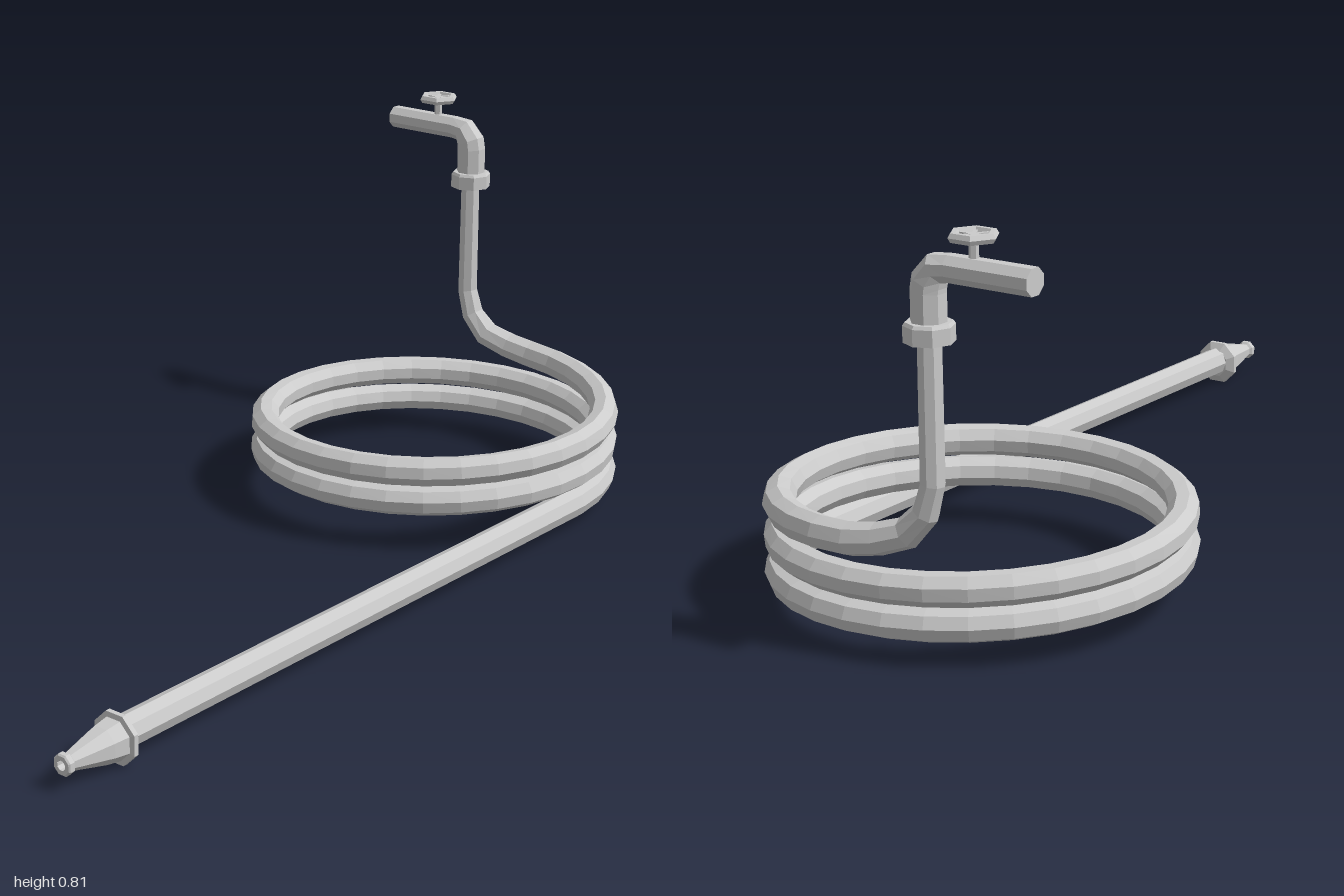
import * as THREE from 'three';

const material = new THREE.MeshStandardMaterial({ color: 0xcccccc, flatShading: true });
const V = (x, y, z) => new THREE.Vector3(x, y, z);

function addMesh(parent, name, geometry, x = 0, y = 0, z = 0) {
  const mesh = new THREE.Mesh(geometry, material);
  mesh.name = name;
  mesh.position.set(x, y, z);
  parent.add(mesh);
  return mesh;
}

// Sweep a regular polygon along stations [point, radius], with capped ends.
function sweep(stations, sides, normal, turn = 0) {
  const positions = [], index = [];
  const n = stations.length;
  const p = stations.map((s) => s[0]);
  const side = normal.clone();
  stations.forEach(([point, radius], i) => {
    const before = p[i].clone().sub(p[Math.max(i - 1, 0)]).normalize();
    const after = p[Math.min(i + 1, n - 1)].clone().sub(p[i]).normalize();
    const tangent = before.add(after).normalize();
    side.addScaledVector(tangent, -side.dot(tangent)).normalize();
    const up = tangent.clone().cross(side);
    for (let j = 0; j < sides; j++) {
      const a = turn + (j / sides) * Math.PI * 2;
      const v = point.clone().addScaledVector(side, Math.cos(a) * radius).addScaledVector(up, Math.sin(a) * radius);
      positions.push(v.x, v.y, v.z);
      if (i < n - 1) {
        const k = i * sides + j, l = i * sides + (j + 1) % sides;
        index.push(k, l, l + sides, k, l + sides, k + sides);
      }
    }
  });
  for (let j = 1; j < sides - 1; j++) {
    const e = (n - 1) * sides;
    index.push(0, j + 1, j, e, e + j, e + j + 1);
  }
  const geometry = new THREE.BufferGeometry();
  geometry.setAttribute('position', new THREE.Float32BufferAttribute(positions, 3));
  geometry.setIndex(index);
  geometry.computeVertexNormals();
  return geometry;
}

export function createModel() {
  const model = new THREE.Group();
  model.name = 'gardenHose';
  const R = 0.032, cx = -0.01, cz = -0.587, coilRadius = 0.383;
  const tapX = -0.185, tapZ = -0.952;

  // Hose: straight run, rising coil, then a narrowing bend into the riser
  const hose = [[V(0.373, 0.053, 0.86), R], [V(0.373, 0.053, -0.45), R]];
  const perTurn = 32, steps = perTurn * 2 + 8;
  for (let i = 0; i <= steps; i++) {
    const a = (i / perTurn) * Math.PI * 2;
    const lift = Math.max(0, i - perTurn * 2) / 8;
    hose.push([V(cx + Math.cos(a) * coilRadius, 0.053 + 0.067 * (i / perTurn) + 0.011 * lift * lift,
      cz - Math.sin(a) * coilRadius), R]);
  }
  hose.push(
    [V(-0.07, 0.225, -0.965), 0.031],
    [V(-0.128, 0.245, -0.955), 0.03],
    [V(-0.168, 0.288, tapZ), 0.026],
    [V(tapX, 0.345, tapZ), 0.0235],
    [V(tapX, 0.61, tapZ), 0.0225]
  );
  addMesh(model, 'hose', sweep(hose, 8, V(1, 0, 0)));

  // Nozzle: flange, cone and lipped tip with a small bore
  const nozzle = new THREE.LatheGeometry([
    [0, 0.845], [0.034, 0.845], [0.0525, 0.856], [0.0525, 0.866], [0.042, 0.868], [0.037, 0.9],
    [0.017, 0.982], [0.022, 0.987], [0.022, 0.997], [0.019, 1], [0.01, 1], [0.01, 0.98], [0, 0.98]
  ].map(([r, h]) => new THREE.Vector2(r, h)), 8, Math.PI / 8);
  nozzle.rotateX(Math.PI / 2);
  addMesh(model, 'nozzle', nozzle, 0.373, 0.0487, 0);

  const tap = new THREE.Group();
  tap.name = 'tap';
  model.add(tap);

  // Threaded collar joining hose and tap
  const collar = new THREE.LatheGeometry([
    [0, 0.6], [0.046, 0.6], [0.046, 0.63], [0.042, 0.636], [0, 0.636]
  ].map(([r, h]) => new THREE.Vector2(r, h)), 8);
  addMesh(tap, 'collar', collar, tapX, 0, tapZ);

  // Elbow body and spout
  addMesh(tap, 'spout', sweep([
    [V(tapX, 0.62, tapZ), 0.033],
    [V(tapX, 0.69, tapZ), 0.033],
    [V(-0.188, 0.708, tapZ), 0.033],
    [V(-0.206, 0.732, tapZ), 0.029],
    [V(-0.235, 0.735, tapZ), 0.026],
    [V(-0.41, 0.735, tapZ), 0.026]
  ], 8, V(1, 0, 0), Math.PI / 8));

  // Valve wheel on its stem
  const wheelX = -0.284;
  addMesh(tap, 'valveStem', new THREE.CylinderGeometry(0.009, 0.009, 0.055, 6), wheelX, 0.7725, tapZ);
  const rim = new THREE.TorusGeometry(0.037, 0.0095, 6, 6);
  rim.rotateX(Math.PI / 2);
  addMesh(tap, 'valveWheelRim', rim, wheelX, 0.797, tapZ);
  for (let i = 0; i < 3; i++) {
    const spoke = addMesh(tap, 'valveWheelSpoke', new THREE.BoxGeometry(0.068, 0.008, 0.008), wheelX, 0.797, tapZ);
    spoke.rotation.y = (i * Math.PI) / 3;
  }
  return model;
}
